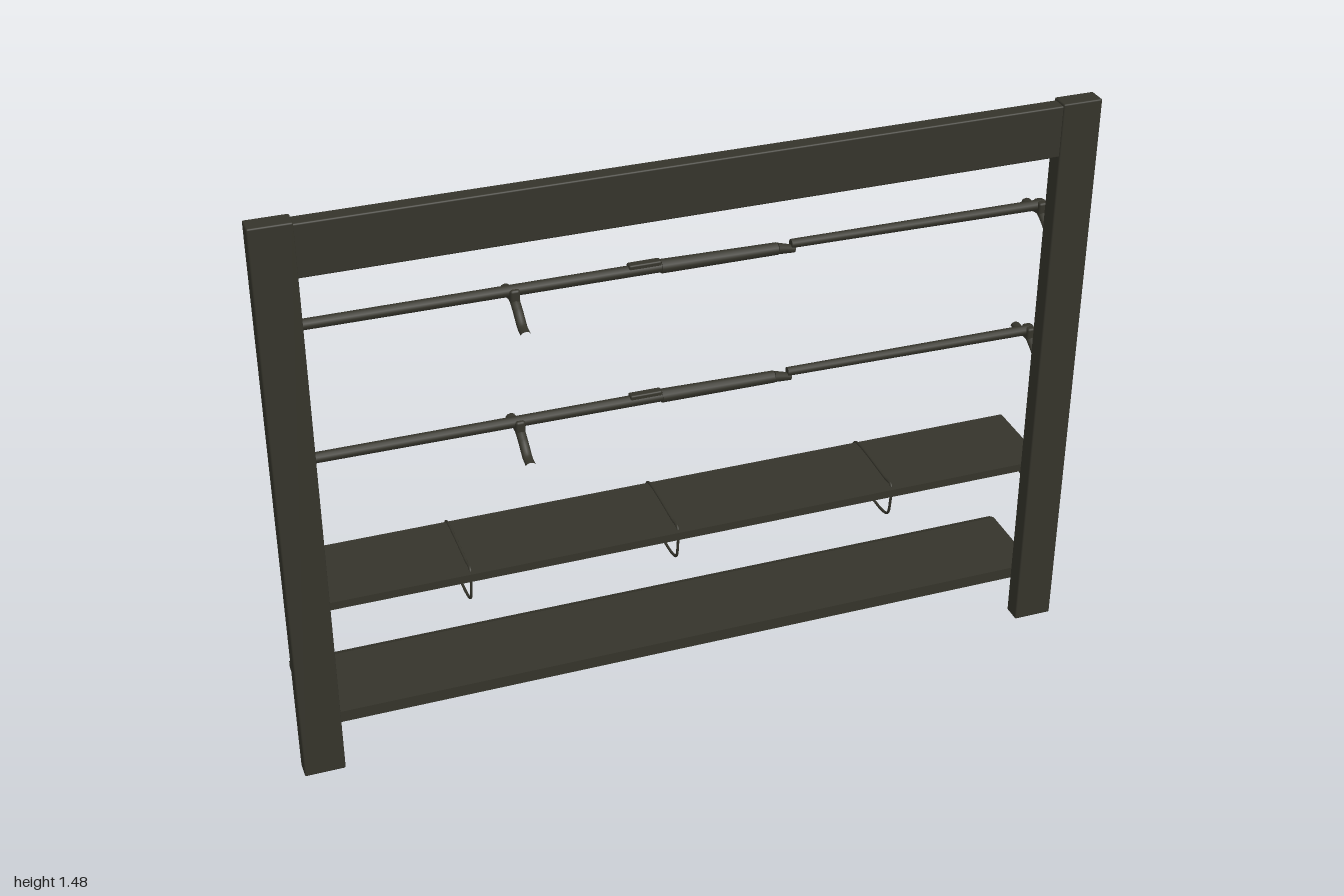
import * as THREE from 'three';
import { RoundedBoxGeometry } from 'three/addons/geometries/RoundedBoxGeometry.js';

const paint = new THREE.MeshStandardMaterial({ color: 0x35342b });
paint.name = 'dark olive paint';

export function createModel() {
  const root = new THREE.Group();
  root.name = 'wallRack';

  const add = (name, geometry, x = 0, y = 0, z = 0, parent = root) => {
    const mesh = new THREE.Mesh(geometry, paint);
    mesh.name = name;
    mesh.position.set(x, y, z);
    parent.add(mesh);
    return mesh;
  };
  const box = (name, x0, x1, y0, y1, z0, z1, r = 0.004) =>
    add(name, new RoundedBoxGeometry(x1 - x0, y1 - y0, z1 - z0, 2, r),
      (x0 + x1) / 2, (y0 + y1) / 2, (z0 + z1) / 2);
  // Tube through [z, y] points in the side plane
  const sideTube = (points, radius, segments, closed = false) => {
    const path = new THREE.CatmullRomCurve3(
      points.map(([z, y]) => new THREE.Vector3(0, y, z)), closed, 'centripetal');
    return new THREE.TubeGeometry(path, segments, radius, 8, closed);
  };
  // Extrudes a [z, y] outline along x, centred on x = 0
  const sideProfile = (points, length) => {
    const shape = new THREE.Shape(points.map(([z, y]) => new THREE.Vector2(-z, y)));
    return new THREE.ExtrudeGeometry(shape, { depth: length, bevelEnabled: false })
      .translate(0, 0, -length / 2).rotateY(Math.PI / 2);
  };

  // Frame
  for (const side of [-1, 1]) {
    const x = side * 0.95;
    box(side > 0 ? 'leftPost' : 'rightPost', x - 0.05, x + 0.05, 0, 1.475, 0.105, 0.153);
    for (const y of [0.065, 1.415]) {
      const bolt = add('postBolt', new THREE.CylinderGeometry(0.008, 0.018, 0.012, 12), x, y, 0.1);
      bolt.rotation.x = -Math.PI / 2;
    }
  }
  box('topBeam', -0.905, 0.905, 1.34, 1.47, 0.11, 0.15);

  // Shelves, with the rear edge of the lower one sloped off
  add('lowerShelf', sideProfile([[0.107, 0.105], [0.107, 0.136], [-0.122, 0.136],
    [-0.147, 0.124], [-0.147, 0.105]], 1.93), -0.003);
  add('upperShelf', sideProfile([[0.107, 0.439], [0.107, 0.46], [-0.13, 0.46],
    [-0.13, 0.439]], 1.93), -0.003);

  // Curved arms under the upper shelf
  for (const x of [-0.94, 0.94]) {
    add('shelfArm', sideTube([[0.107, 0.402], [0.045, 0.403], [0, 0.425],
      [-0.05, 0.434], [-0.115, 0.437]], 0.013, 24), x);
    const cap = add('shelfArmBolt', new THREE.CylinderGeometry(0.012, 0.012, 0.05, 10), x, 0.464, 0.084);
    cap.rotation.x = Math.PI / 2;
  }

  // Thin cords looped round the upper shelf
  for (const x of [-0.55, -0.025, 0.545]) {
    const loop = new THREE.Group();
    loop.name = 'cordLoop';
    loop.position.x = x;
    root.add(loop);
    add('cord', sideTube([[0.09, 0.462], [0.05, 0.463], [-0.12, 0.463], [-0.142, 0.452],
      [-0.148, 0.425], [-0.137, 0.392], [-0.1, 0.364], [-0.05, 0.36], [0.05, 0.361],
      [0.08, 0.374], [0.09, 0.41]], 0.0035, 70, true), 0, 0, 0, loop);
    add('cordToggle', new THREE.CylinderGeometry(0.007, 0.007, 0.022, 10), 0, 0.356, -0.07, loop);
  }

  // Long rails, each resting on three hooked brackets
  for (const y of [0.8, 1.15]) {
    const rail = new THREE.Group();
    rail.name = 'rail';
    rail.position.set(0, y, 0.012);
    root.add(rail);
    const rod = (name, x0, x1, y0, y1, r0, r1) => {
      const g = new THREE.CylinderGeometry(r1, r0, x1 - x0, 12).rotateZ(-Math.PI / 2);
      const m = add(name, g, (x0 + x1) / 2, (y0 + y1) / 2, 0, rail);
      m.rotation.z = Math.atan2(y1 - y0, x1 - x0);
    };
    rod('rightRod', -0.95, -0.03, 0.003, 0, 0.013, 0.014);
    rod('middleRod', -0.04, 0.25, 0, -0.004, 0.017, 0.015);
    rod('rodTip', 0.25, 0.295, -0.004, -0.012, 0.014, 0.009);
    rod('leftRod', 0.285, 0.95, 0.003, -0.003, 0.011, 0.013);
    add('railClip', new RoundedBoxGeometry(0.08, 0.02, 0.022, 2, 0.004), -0.08, 0.009, 0, rail);

    for (const x of [-0.94, -0.395, 0.94]) {
      const bracket = new THREE.Group();
      bracket.name = 'hookBracket';
      bracket.position.set(x, y, 0);
      root.add(bracket);
      const arm = add('hookArm', sideTube([[0.106, -0.065], [0.08, -0.06], [0.045, -0.034],
        [0.015, -0.019], [-0.02, -0.026], [-0.06, -0.026]], 0.008, 28), 0, 0, 0, bracket);
      arm.scale.x = 1.5;
      add('hookCradle', new RoundedBoxGeometry(0.024, 0.034, 0.036, 2, 0.006), 0, -0.008, 0.014, bracket);
    }
  }
  return root;
}
